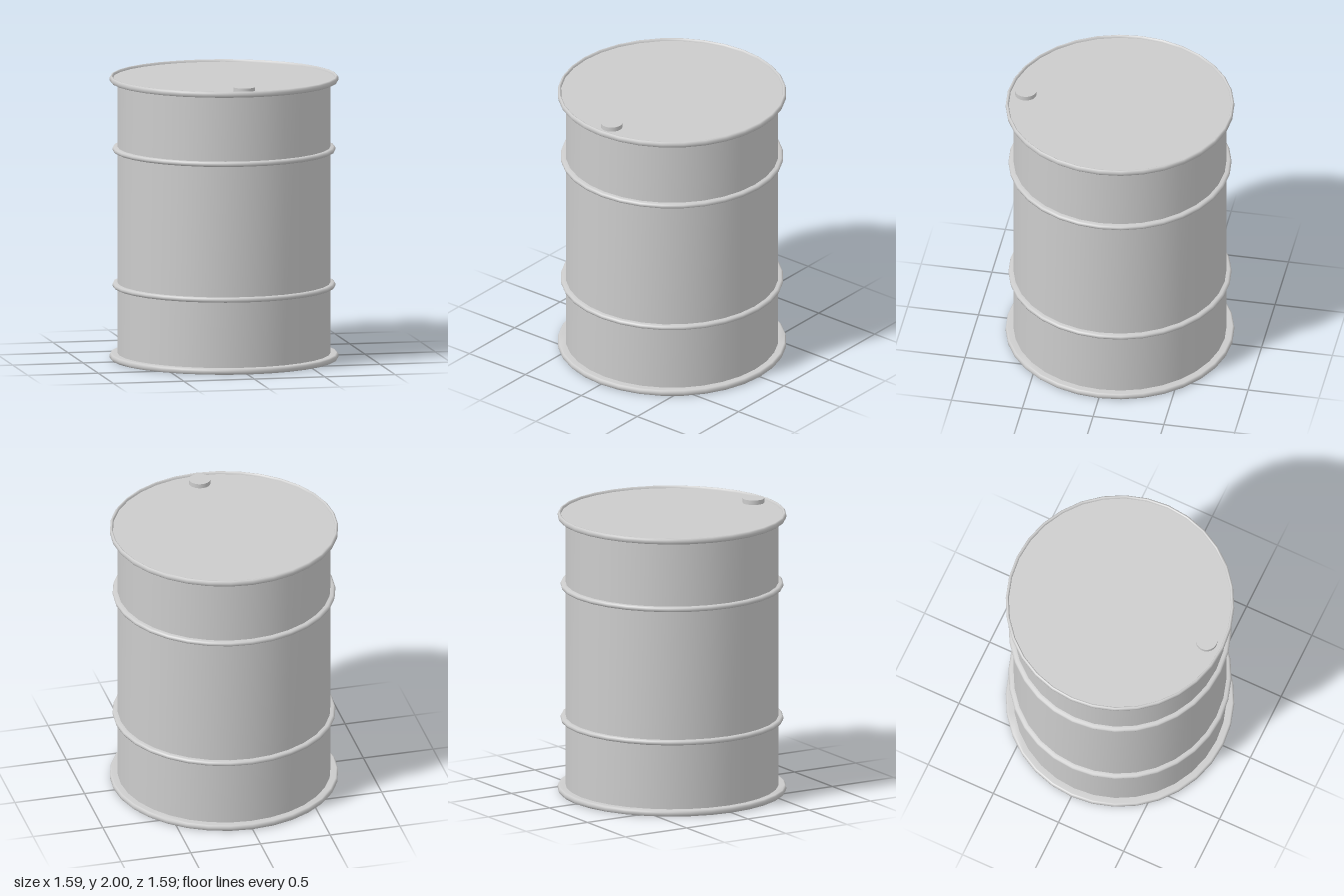
import * as THREE from 'three';
import { toCreasedNormals } from 'three/addons/utils/BufferGeometryUtils.js';

const SIDES = 32;
const HEIGHT = 1.985; // top of the upper rim

export function createModel() {
  const group = new THREE.Group();
  const material = new THREE.MeshStandardMaterial({ color: 0xcccccc });

  const add = (name, geometry, y = 0, z = 0) => {
    const mesh = new THREE.Mesh(toCreasedNormals(geometry, 0.9), material);
    mesh.name = name;
    mesh.position.set(0, y, z);
    group.add(mesh);
  };
  const lathe = (points) =>
    new THREE.LatheGeometry(points.map(([r, y]) => new THREE.Vector2(r, y)), SIDES);

  // Straight wall of the drum
  add('drumWall', new THREE.CylinderGeometry(0.74, 0.74, HEIGHT - 0.04, SIDES, 1, true), HEIGHT / 2);

  // End plates: slightly recessed disc inside a rounded rolled rim
  const end = [
    [0, 0.017], [0.772, 0.017], [0.776, 0.003], [0.78, 0], [0.786, 0.001],
    [0.793, 0.009], [0.794, 0.021], [0.793, 0.033], [0.786, 0.041], [0.78, 0.042], [0.735, 0.042],
  ];
  add('bottomEnd', lathe(end));
  add('topEnd', lathe(end.map(([r, y]) => [r, HEIGHT - y]).reverse()));

  // Two rounded reinforcing hoops around the wall
  const hoop = [
    [0.73, -0.017], [0.761, -0.017], [0.771, -0.012], [0.775, 0],
    [0.771, 0.012], [0.761, 0.017], [0.73, 0.017],
  ];
  add('lowerHoop', lathe(hoop), 0.52);
  add('upperHoop', lathe(hoop), 1.472);

  // Filler cap near the front edge of the lid
  add('fillerCap', new THREE.CylinderGeometry(0.075, 0.075, 0.04, SIDES), 1.98, 0.665);

  return group;
}
